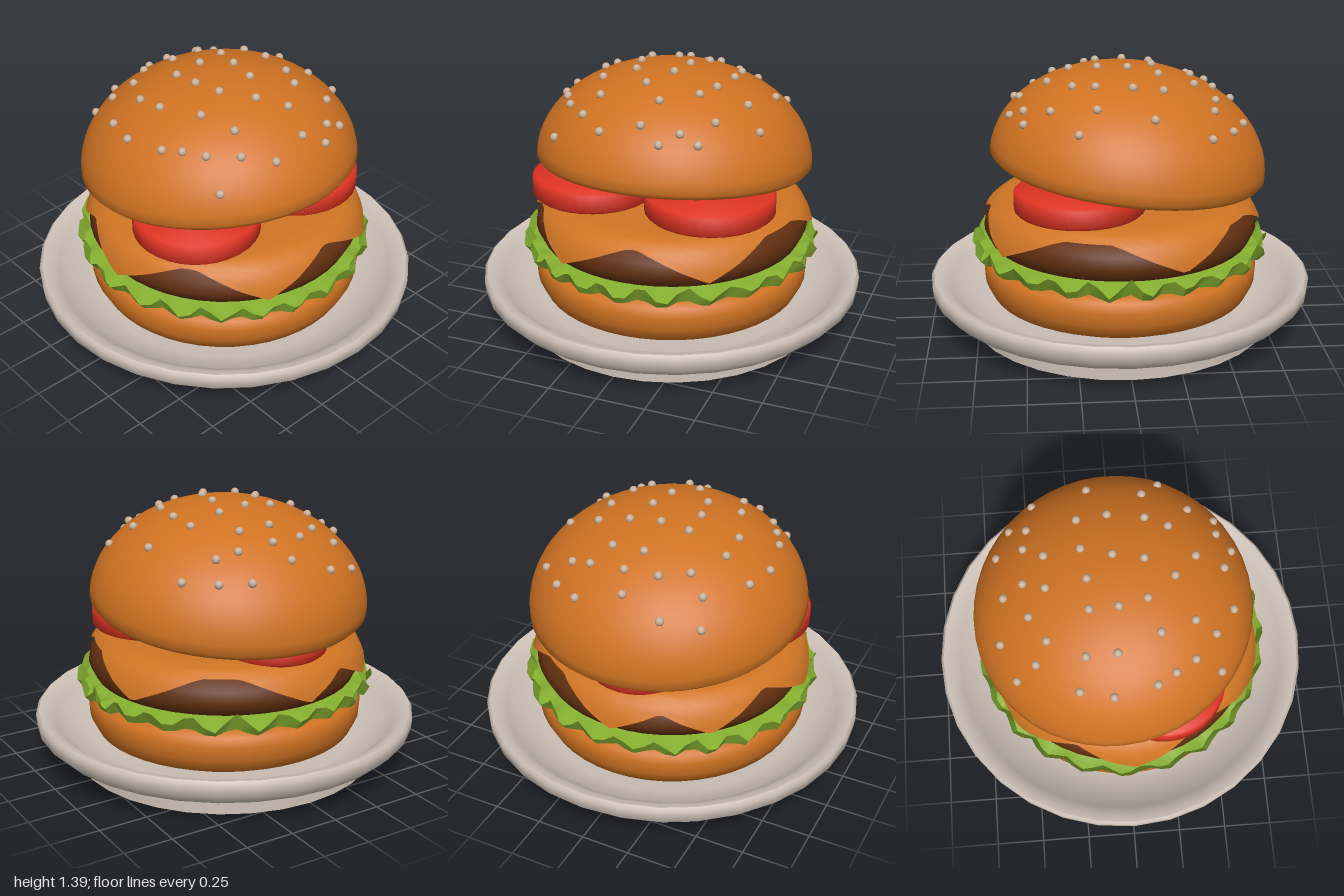
import * as THREE from 'three';
import { toCreasedNormals } from 'three/addons/utils/BufferGeometryUtils.js';

const paint = (name, color, side = THREE.FrontSide) => {
  const m = new THREE.MeshStandardMaterial({ color, side });
  m.name = name;
  return m;
};

// Smooth turned solid from [radius, y] pairs, given from the bottom up
function turned(profile, segments = 48, crease = 0.9) {
  const points = profile.map(([r, y]) => new THREE.Vector2(r, y));
  return toCreasedNormals(new THREE.LatheGeometry(points, segments), crease);
}

// Round sheet: at(ring, angle) returns [radius, y]
function roundSheet(rings, segs, at) {
  const pos = [], idx = [];
  for (let i = 0; i <= rings; i++) {
    for (let j = 0; j < segs; j++) {
      const a = (j / segs) * Math.PI * 2;
      const [r, y] = at(i, a);
      pos.push(r * Math.cos(a), y, r * Math.sin(a));
    }
  }
  for (let i = 0; i < rings; i++) {
    for (let j = 0; j < segs; j++) {
      const k = (j + 1) % segs;
      const a = i * segs + j, b = a + segs, c = i * segs + k, d = c + segs;
      idx.push(a, c, b, c, d, b);
    }
  }
  const g = new THREE.BufferGeometry();
  g.setAttribute('position', new THREE.Float32BufferAttribute(pos, 3));
  g.setIndex(idx);
  g.computeVertexNormals();
  return g;
}

export function createModel() {
  const group = new THREE.Group();
  const bread = paint('bread', 0xcf7222);
  const cheeseMat = paint('cheese', 0xcf7524, THREE.DoubleSide);
  const meat = paint('meat', 0x633010);
  const red = paint('tomato red', 0xdd3322);
  const green = paint('lettuce green', 0x86b030, THREE.DoubleSide);
  const china = paint('plate grey', 0xcfc3b9);
  const sesame = paint('sesame', 0xc8b09a);

  const add = (name, geometry, material, parent = group) => {
    const mesh = new THREE.Mesh(geometry, material);
    mesh.name = name;
    parent.add(mesh);
    return mesh;
  };

  // Plate with a straight foot and a raised rim
  add('plate', turned([
    [0, 0], [0.795, 0], [0.795, 0.085], [0.87, 0.1], [0.94, 0.135], [0.995, 0.19],
    [1, 0.25], [0.985, 0.268], [0.95, 0.262], [0.9, 0.225], [0.81, 0.145], [0.69, 0.11], [0, 0.11],
  ], 32), china);

  add('bottomBun', turned([
    [0, 0.12], [0.58, 0.12], [0.68, 0.17], [0.715, 0.24], [0.72, 0.31],
    [0.705, 0.355], [0.66, 0.38], [0, 0.38],
  ]), bread);

  // Ruffled lettuce, its pleats growing towards the edge
  const teeth = 23;
  const tri = (t) => Math.abs((((t % 1) + 1) % 1) * 2 - 1) * 2 - 1;
  add('lettuce', toCreasedNormals(roundSheet(4, teeth * 4, (i, a) => {
    const t = (a / (Math.PI * 2)) * teeth + 0.12 * Math.sin(3 * a);
    const uneven = 0.8 + 0.2 * Math.sin(5 * a + 1);
    const w = tri(t), v = tri(t + 0.3);
    if (i === 0) return [0, 0.42];
    if (i === 1) return [0.62, 0.42];
    if (i === 2) return [0.69, 0.4 + 0.01 * w];
    if (i === 3) return [0.735 + 0.022 * v, 0.398 + 0.02 * w * uneven];
    return [0.765 + 0.022 * v * uneven, 0.455 + 0.055 * w * uneven];
  }), 0.5), green);

  add('patty', turned([
    [0, 0.43], [0.6, 0.43], [0.68, 0.465], [0.712, 0.53], [0.7, 0.59], [0.66, 0.635], [0.58, 0.66], [0, 0.665],
  ]), meat);

  // Cheese drapes over the patty and hangs down in pointed corners
  const corners = [55, 115, 178, 229, 268, 339].map((d) => (d * Math.PI) / 180);
  const drape = [[0.55, 0.692], [0.635, 0.68], [0.695, 0.635], [0.73, 0.57], [0.745, 0.505]];
  const along = (t) => {
    const k = Math.min(Math.floor(t), drape.length - 2), f = t - k;
    return drape[k].map((v, n) => v + (drape[k + 1][n] - v) * f);
  };
  add('cheese', roundSheet(9, 144, (i, a) => {
    if (i === 0) return [0, 0.695];
    let hang = 0;
    for (const c of corners) {
      const gap = Math.abs(Math.atan2(Math.sin(a - c), Math.cos(a - c)));
      hang = Math.max(hang, 1 - gap / 0.5);
    }
    return along(((i - 1) / 8) * (1.7 + 2.3 * Math.pow(hang, 1.1)));
  }), cheeseMat);

  // Three tomato slices: [x, y, z, radius, tilt]
  [[0.29, 0.755, 0.22, 0.33, 0], [-0.355, 0.755, 0.19, 0.32, 0], [-0.03, 0.73, -0.4, 0.275, -0.06]]
    .forEach(([x, y, z, r, tilt], n) => {
      const h = n < 2 ? 0.055 : 0.042;
      const slice = add('tomatoSlice' + (n + 1), turned([
        [0, -h], [r - 0.012, -h], [r, 0.012 - h], [r, h - 0.012], [r - 0.012, h], [0, h],
      ], 32), red);
      slice.position.set(x, y, z);
      slice.rotation.x = tilt;
    });

  // Top bun, tipped up at the front
  const R = 0.715, H = 0.51, lean = 0.117, baseZ = -0.04;
  const top = new THREE.Group();
  top.name = 'topBun';
  top.position.set(0, 0.86, baseZ);
  top.rotation.x = -lean;
  group.add(top);
  const dome = [[0, -0.025], [0.64, -0.03], [0.695, -0.025]];
  for (let i = 0; i <= 16; i++) {
    const t = (i / 16) * Math.PI / 2;
    dome.push([i === 16 ? 0 : R * Math.cos(t), H * Math.sin(t)]);
  }
  add('bunDome', turned(dome), bread, top);

  // Sesame seeds, as x, z pairs in hundredths seen from above
  const seeds = [
    -23, -60, -41, -53, -2, -57, 22, -60, 36, -53, -37, -43, -15, -45, 2, -47, 21, -46, 32, -44,
    49, -41, -28, -37, -3, -36, 14, -36, -52, -23, -38, -19, -17, -16, -2, -16, 14, -18, 31, -19,
    51, -13, -56, -7, -38, -4, -17, -2, 9, -3, 32, -4, -52, 14, -30, 17, -14, 12, 6, 12,
    29, 14, 45, 14, -47, 23, -3, 26, 24, 25, 54, 23, -41, 33, -24, 34, 8, 37, 36, 36,
    -44, 46, -29, 44, 4, 51, 23, 49, 32, 49, -16, 54, 15, 56,
  ];
  const seedShape = new THREE.SphereGeometry(0.022, 10, 7);
  for (let i = 0; i < seeds.length; i += 2) {
    const x = seeds[i] / 100, z = seeds[i + 1] / 100;
    let lz = z, ly = 0;
    for (let k = 0; k < 12; k++) {
      ly = H * Math.sqrt(Math.max(0, 1 - (x * x + lz * lz) / (R * R)));
      lz = (z - baseZ + ly * Math.sin(lean)) / Math.cos(lean);
    }
    ly = H * Math.sqrt(Math.max(0, 1 - (x * x + lz * lz) / (R * R)));
    add('sesameSeed', seedShape, sesame, top).position.set(x, ly + 0.004, lz);
  }
  return group;
}
